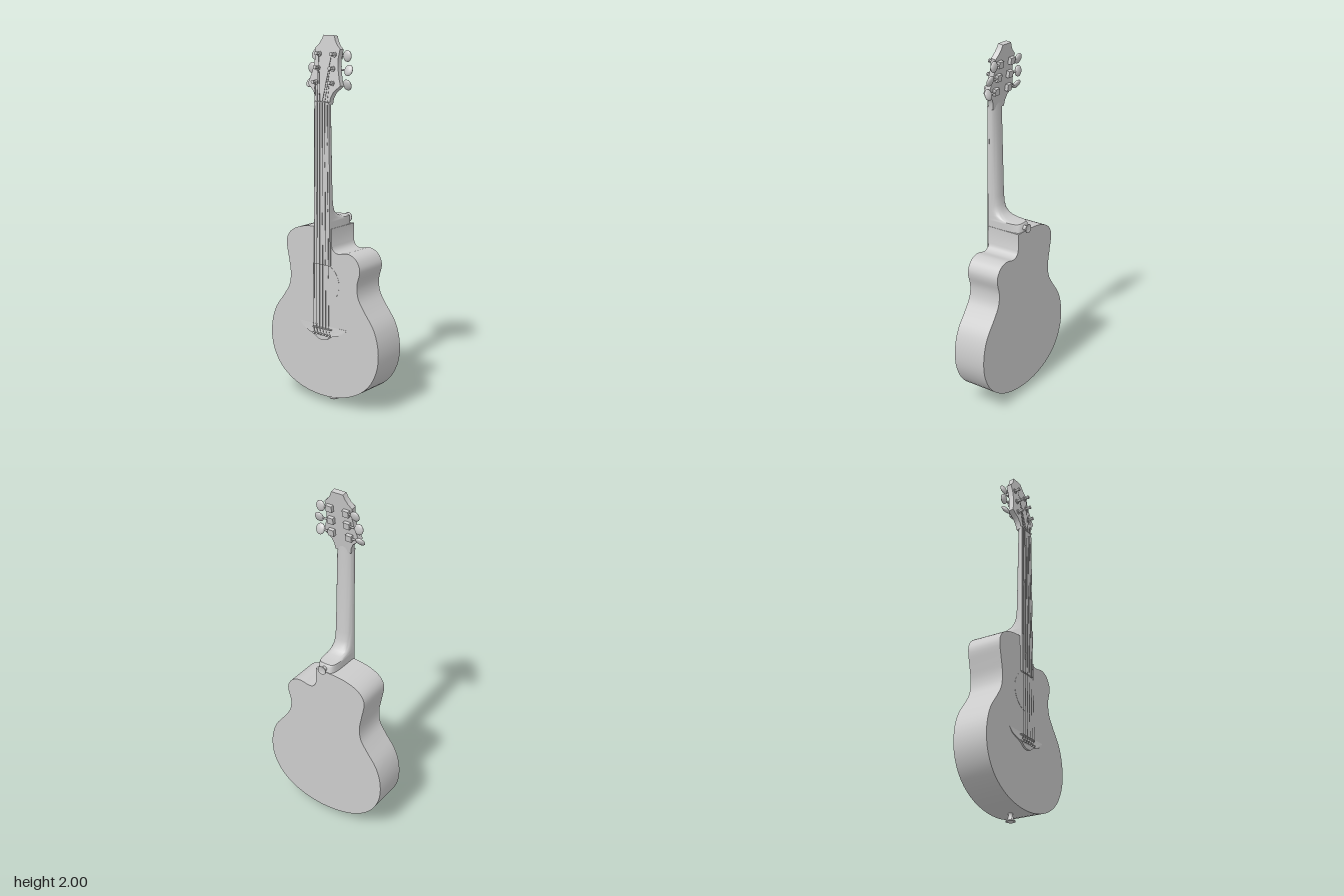
import * as THREE from 'three';
import { toCreasedNormals } from 'three/addons/utils/BufferGeometryUtils.js';

const grey = new THREE.MeshStandardMaterial({ color: 0xcccccc });
const V = (x, y, z) => new THREE.Vector3(x, y, z);
const pts2 = (list) => list.map(([x, y]) => new THREE.Vector2(x, y));

function add(parent, name, geo, x = 0, y = 0, z = 0) {
  const mesh = new THREE.Mesh(geo, grey);
  mesh.name = name;
  mesh.position.set(x, y, z);
  parent.add(mesh);
  return mesh;
}

// Flat slab from a shape, spanning z0..z1
function slab(shape, z0, z1, curveSegments = 5) {
  const geo = new THREE.ExtrudeGeometry(shape, { depth: z1 - z0, bevelEnabled: false, curveSegments });
  return toCreasedNormals(geo.translate(0, 0, z0), 0.6);
}

// Thin round rod between two points
function rod(parent, name, a, b, r, sides = 6) {
  const dir = b.clone().sub(a);
  const mid = a.clone().add(b).multiplyScalar(0.5);
  const mesh = add(parent, name, new THREE.CylinderGeometry(r, r, dir.length(), sides), mid.x, mid.y, mid.z);
  mesh.quaternion.setFromUnitVectors(V(0, 1, 0), dir.normalize());
  return mesh;
}

// Flared strap button, growing along +y from its base
function strapButton() {
  const profile = [[0, -0.005], [0.015, -0.005], [0.012, 0.006], [0.016, 0.018], [0.025, 0.024], [0.025, 0.027], [0.019, 0.027], [0.012, 0.023], [0, 0.023]];
  return toCreasedNormals(new THREE.LatheGeometry(pts2(profile), 20), 0.6);
}

// Neck with a D-shaped section that sweeps back into the heel
function neckGeometry() {
  // height, half width, back z, roundness (1 = ellipse, small = square)
  const sections = [
    [0.93, 0.055, -0.098, 0.4], [1.025, 0.055, -0.098, 0.4], [1.035, 0.055, -0.09, 0.4],
    [1.037, 0.055, -0.05, 0.45], [1.045, 0.055, -0.01, 0.5], [1.058, 0.055, 0.02, 0.6],
    [1.08, 0.054, 0.038, 0.75], [1.11, 0.054, 0.048, 0.85], [1.16, 0.053, 0.053, 0.9],
    [1.4, 0.051, 0.06, 0.9], [1.64, 0.049, 0.067, 0.9], [1.68, 0.049, 0.066, 0.7],
  ];
  const n = 16, front = 0.096, pos = [], index = [];
  sections.forEach(([y, hw, back, e], i) => {
    for (let j = 0; j <= n; j++) {
      const t = (j / n) * Math.PI, c = Math.cos(t);
      pos.push(hw * Math.sign(c) * Math.abs(c) ** e, y, front - (front - back) * Math.abs(Math.sin(t)) ** e);
    }
    if (i === 0) return;
    for (let j = 0; j < n; j++) {
      const a = (i - 1) * (n + 1) + j, d = a + n + 1;
      index.push(a, a + 1, d + 1, a, d + 1, d);
    }
  });
  const geo = new THREE.BufferGeometry();
  geo.setAttribute('position', new THREE.Float32BufferAttribute(pos, 3));
  geo.setIndex(index);
  return toCreasedNormals(geo, 0.8);
}

export function createModel() {
  const guitar = new THREE.Group();
  guitar.name = 'guitar';

  // Body with a cutaway on its left shoulder
  const outline = new THREE.Shape();
  outline.moveTo(0.057, 0.988);
  outline.lineTo(0.057, 0.9);
  outline.splineThru(pts2([
    [0.068, 0.872], [0.1, 0.857], [0.165, 0.868], [0.215, 0.85], [0.243, 0.81], [0.246, 0.77],
    [0.229, 0.705], [0.238, 0.635], [0.28, 0.568], [0.34, 0.485], [0.37, 0.385], [0.366, 0.275],
    [0.32, 0.175], [0.24, 0.103], [0.13, 0.058], [0, 0.042], [-0.13, 0.058], [-0.24, 0.103],
    [-0.32, 0.175], [-0.366, 0.275], [-0.37, 0.385], [-0.34, 0.485], [-0.28, 0.568], [-0.238, 0.635],
    [-0.229, 0.71], [-0.242, 0.79], [-0.256, 0.87], [-0.243, 0.92], [-0.2, 0.957], [-0.13, 0.98], [-0.055, 0.988],
  ]));
  outline.closePath();
  add(guitar, 'body', slab(outline, -0.1, 0.095, 3));

  // Sound hole disc lying flush on the top
  const hole = add(guitar, 'soundHole', new THREE.CylinderGeometry(0.11, 0.11, 0.002, 48), 0, 0.682, 0.095);
  hole.rotation.x = Math.PI / 2;

  // Neck, fingerboard and nut
  add(guitar, 'neck', neckGeometry());
  const board = new THREE.Shape(pts2([[-0.055, 0.785], [0.055, 0.785], [0.049, 1.655], [-0.049, 1.655]]));
  add(guitar, 'fingerboard', slab(board, 0.094, 0.105));
  add(guitar, 'nut', new THREE.BoxGeometry(0.098, 0.008, 0.018), 0, 1.657, 0.1);

  // Bridge: straight upper edge, moustache-shaped lower edge, thinning to its tips
  const bridgeShape = new THREE.Shape();
  bridgeShape.moveTo(0.162, 0.445);
  bridgeShape.lineTo(-0.162, 0.445);
  bridgeShape.splineThru(pts2([[-0.14, 0.42], [-0.1, 0.402], [-0.06, 0.39], [-0.03, 0.37], [0, 0.364],
    [0.03, 0.37], [0.06, 0.39], [0.1, 0.402], [0.14, 0.42], [0.162, 0.445]]));
  const bridge = new THREE.ExtrudeGeometry(bridgeShape, { depth: 0.011, bevelEnabled: false, curveSegments: 3 });
  const p = bridge.attributes.position;
  for (let i = 0; i < p.count; i++) {
    const taper = Math.min(1, (0.175 - Math.abs(p.getX(i))) / 0.1);
    p.setZ(i, 0.094 + p.getZ(i) * taper);
  }
  add(guitar, 'bridge', toCreasedNormals(bridge, 0.5));
  add(guitar, 'saddle', new THREE.BoxGeometry(0.125, 0.005, 0.016), 0, 0.43, 0.103);

  // Tilted headstock
  const head = new THREE.Group();
  head.name = 'headstock';
  head.position.set(0, 1.66, 0.099);
  head.rotation.x = -0.16;
  guitar.add(head);
  const half = [[0.049, -0.01], [0.052, 0.022], [0.066, 0.052], [0.09, 0.072], [0.109, 0.088],
    [0.097, 0.12], [0.083, 0.17], [0.076, 0.22], [0.083, 0.275], [0.06, 0.297], [0.045, 0.32], [0.035, 0.344]];
  const mirrored = half.map(([x, y]) => [-x, y]).reverse();
  add(head, 'headPlate', slab(new THREE.Shape(pts2([...half, ...mirrored])), -0.03, 0));

  // Tuning machines, three on each side: height, post x, knob x, knob turn
  const tuners = [[0.097, 0.054, 0.122, 0.5], [0.172, 0.049, 0.121, -0.2], [0.245, 0.05, 0.104, 0.15]];
  for (const side of [-1, 1]) {
    tuners.forEach(([y, postX, knobX, turn]) => {
      const tuner = new THREE.Group();
      tuner.name = side > 0 ? 'leftTuner' : 'rightTuner';
      head.add(tuner);
      const x = side * postX;
      rod(tuner, 'post', V(x, y, -0.03), V(x, y, 0.03), 0.007, 12);
      rod(tuner, 'postCap', V(x, y, 0.024), V(x, y, 0.032), 0.01, 12);
      rod(tuner, 'washer', V(x, y, -0.002), V(x, y, 0.006), 0.014, 16);
      add(tuner, 'gearHousing', new THREE.BoxGeometry(0.036, 0.036, 0.02), x, y, -0.039);
      rod(tuner, 'shaft', V(x, y, -0.04), V(side * knobX, y, -0.04), 0.005, 8);
      const knob = add(tuner, 'knob', new THREE.SphereGeometry(1, 20, 12), side * knobX, y, -0.04);
      knob.scale.set(0.026, 0.03, 0.012);
      knob.rotation.x = side * turn;
    });
  }
  head.updateMatrix();

  // Six strings with their bridge pins
  for (let i = 0; i < 6; i++) {
    const k = i - 2.5;
    const side = Math.sign(k);
    const row = i < 3 ? i : 5 - i;
    const post = V(side * (tuners[row][1] - 0.007), tuners[row][0], 0.016).applyMatrix4(head.matrix);
    const path = [V(k * 0.021, 0.4, 0.104), V(k * 0.021, 0.43, 0.112), V(k * 0.0165, 1.657, 0.11), post];
    const r = 0.0018 - i * 0.0002;
    for (let s = 0; s < 3; s++) rod(guitar, 'string', path[s], path[s + 1], r);
    rod(guitar, 'bridgePin', V(k * 0.021, 0.398, 0.098), V(k * 0.021, 0.398, 0.115), 0.0065, 12);
  }

  // Strap buttons on the heel and the tail
  add(guitar, 'heelButton', strapButton(), 0, 1.01, -0.098).rotation.x = -Math.PI / 2;
  const tail = add(guitar, 'tailButton', strapButton(), 0, 0.043, 0);
  tail.rotation.x = Math.PI;
  tail.scale.y = 0.043 / 0.027;

  return guitar;
}
